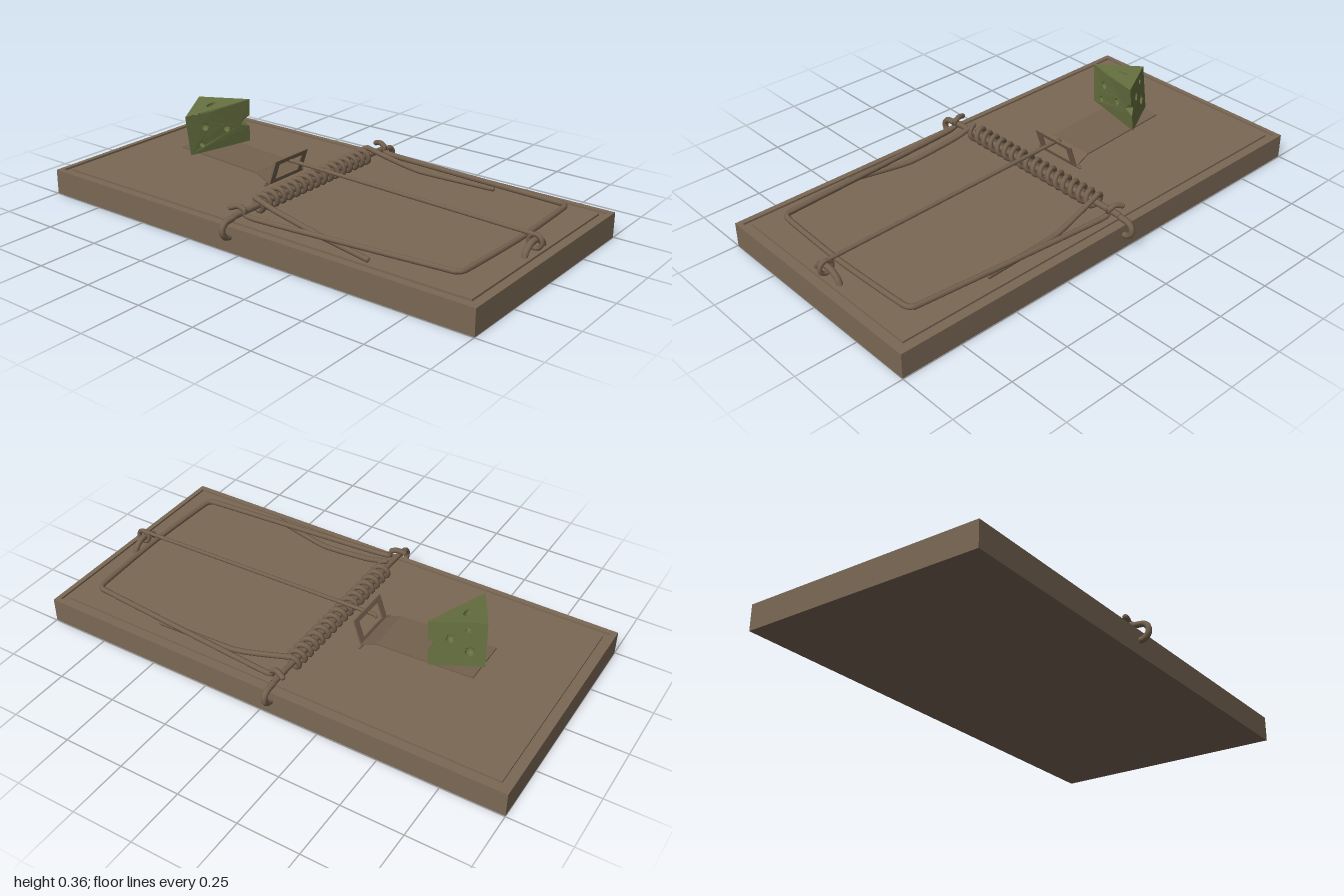
import * as THREE from 'three';

const wood = new THREE.MeshStandardMaterial({ color: 0x7b6855 });
wood.name = 'brown wood';
const metal = new THREE.MeshStandardMaterial({ color: 0x75624f });
metal.name = 'brown metal';
const cheeseMat = new THREE.MeshStandardMaterial({ color: 0x667040, flatShading: true, side: THREE.DoubleSide });
cheeseMat.name = 'green cheese';

const V = (x, y, z) => new THREE.Vector3(x, y, z);

function add(parent, name, geometry, material, x = 0, y = 0, z = 0) {
  const mesh = new THREE.Mesh(geometry, material);
  mesh.name = name;
  mesh.position.set(x, y, z);
  parent.add(mesh);
  return mesh;
}

// Round wire through points, closed off by a ball at each end
function wire(parent, name, points, radius, segments = 60, tension = 0.25) {
  const group = new THREE.Group();
  group.name = name;
  const pts = points.map((p) => V(...p));
  const curve = new THREE.CatmullRomCurve3(pts, false, 'catmullrom', tension);
  add(group, name + 'Wire', new THREE.TubeGeometry(curve, segments, radius, 8), metal);
  for (const p of [pts[0], pts[pts.length - 1]])
    add(group, name + 'End', new THREE.SphereGeometry(radius, 8, 6), metal, p.x, p.y, p.z);
  parent.add(group);
}

function rectangle(w, h, Kind = THREE.Shape) {
  return new Kind([[-w, -h], [w, -h], [w, h], [-w, h]].map(([x, y]) => new THREE.Vector2(x, y)));
}

// Board with a shallow groove running round its top
function buildBase(parent) {
  add(parent, 'board', new THREE.BoxGeometry(0.995, 0.095, 2), wood, 0, 0.0475, 0);
  const rim = rectangle(0.4975, 1);
  rim.holes.push(rectangle(0.475, 0.98, THREE.Path));
  for (const [name, shape] of [['boardRim', rim], ['boardPanel', rectangle(0.452, 0.957)]]) {
    const geo = new THREE.ExtrudeGeometry(shape, { depth: 0.009, bevelEnabled: false });
    geo.rotateX(-Math.PI / 2);
    add(parent, name, geo, wood, 0, 0.094, 0);
  }
}

// Coil spring round the axle, with its two long arms
function buildSpring(parent) {
  const turns = 17, coil = [];
  for (let i = 0; i <= turns * 12; i++) {
    const a = (i / 12) * Math.PI * 2;
    coil.push([-0.35 + (0.705 * i) / (turns * 12), 0.141 + 0.029 * Math.cos(a), -0.046 + 0.029 * Math.sin(a)]);
  }
  wire(parent, 'spring', coil, 0.0105, turns * 16, 0.5);
  wire(parent, 'leftSpringArm', [[0.355, 0.17, -0.046], [0.365, 0.145, 0.05], [0.38, 0.115, 0.2], [0.395, 0.115, 0.53]], 0.011);
  wire(parent, 'rightSpringArm', [[-0.35, 0.17, -0.046], [-0.355, 0.145, 0.05], [-0.375, 0.115, 0.27], [-0.435, 0.115, 0.53]], 0.011);
}

// Axle whose ends bend round into the sides of the board
function buildAxle(parent) {
  const end = [[0.48, 0.06], [0.515, 0.066], [0.533, 0.085], [0.533, 0.108], [0.515, 0.125], [0.47, 0.13], [0.4, 0.135]];
  const right = end.map(([x, y]) => [-x, y, -0.046]);
  const left = end.map(([x, y]) => [x, y, -0.046]).reverse();
  wire(parent, 'axle', [...right, ...left], 0.0125, 160, 0.4);
}

// U-shaped striking bar hooked over the axle at both ends
function buildBar(parent) {
  const side = [[0.455, 0.158, -0.075], [0.445, 0.168, -0.045], [0.44, 0.155, -0.015], [0.435, 0.13, 0.03],
    [0.377, 0.138, 0.8], [0.37, 0.139, 0.845], [0.335, 0.139, 0.865]];
  const bar = [...side, [0, 0.139, 0.877], ...side.map(([x, y, z]) => [-x, y, z]).reverse()];
  wire(parent, 'strikingBar', bar, 0.011, 220, 0.3);
}

// Holding rod, its ring and the staple at the front
function buildRod(parent) {
  wire(parent, 'holdingRod', [[-0.003, 0.167, 0.925], [-0.003, 0.19, -0.15], [-0.003, 0.183, -0.2]], 0.008);
  const ring = add(parent, 'rodRing', new THREE.TorusGeometry(0.026, 0.009, 8, 24), metal, -0.003, 0.142, 0.935);
  ring.rotation.y = Math.PI / 2;
  wire(parent, 'staple', [[-0.07, 0.09, 0.93], [-0.058, 0.118, 0.93], [-0.03, 0.138, 0.93], [0, 0.143, 0.93],
    [0.03, 0.138, 0.93], [0.058, 0.118, 0.93], [0.07, 0.09, 0.93]], 0.0125, 40, 0.5);
}

// Bent bait plate with an upright open catch
function buildPlate(parent) {
  const profile = [[-0.195, 0.112], [-0.26, 0.143], [-0.665, 0.163]];
  for (let i = 0; i < 2; i++) {
    const [z0, y0] = profile[i], [z1, y1] = profile[i + 1];
    const geo = new THREE.BoxGeometry(0.197, 0.006, Math.hypot(z1 - z0, y1 - y0) + 0.003);
    const mesh = add(parent, 'baitPlate', geo, metal, 0, (y0 + y1) / 2, (z0 + z1) / 2);
    mesh.rotation.x = Math.atan2(y1 - y0, z0 - z1);
  }
  const frame = rectangle(0.098, 0.054);
  frame.holes.push(new THREE.Path([[-0.07, -0.036], [0.07, -0.036], [0.07, 0.034], [-0.07, 0.034]]
    .map(([x, y]) => new THREE.Vector2(x, y))));
  const geo = new THREE.ExtrudeGeometry(frame, { depth: 0.007, bevelEnabled: false });
  const mesh = add(parent, 'catch', geo, metal, 0, 0.163, -0.181);
  mesh.rotation.x = 0.33;
  wire(parent, 'platePivot', [[-0.115, 0.112, -0.2], [0.115, 0.112, -0.2]], 0.006, 4);
}

// Wedge of cheese: panels with pits, and a bite out of one upright edge
function buildCheese(parent) {
  const group = new THREE.Group();
  group.name = 'cheese';
  parent.add(group);
  const low = [V(-0.16, 0.168, -0.56), V(0.125, 0.168, -0.493), V(0.025, 0.168, -0.68)];
  const high = [V(-0.177, 0.333, -0.568), V(0.112, 0.357, -0.478), V(0.01, 0.357, -0.668)];

  // Lays a flat outline with round pits onto a patch given by map(u, v)
  function panel(name, outline, pits, map) {
    const origin = map(0.4, 0.3);
    const normal = map(0.5, 0.3).sub(origin).cross(map(0.4, 0.4).sub(origin)).normalize();
    const place = (geo) => {
      const pos = geo.attributes.position;
      for (let i = 0; i < pos.count; i++) {
        const p = map(pos.getX(i), pos.getY(i)).addScaledVector(normal, pos.getZ(i));
        pos.setXYZ(i, p.x, p.y, p.z);
      }
      geo.computeVertexNormals();
      return geo;
    };
    const shape = new THREE.Shape(outline.map(([u, v]) => new THREE.Vector2(u, v)));
    for (const [u, v, ru, rv] of pits) {
      const hole = [];
      for (let i = 0; i < 8; i++) {
        const a = (i / 8) * Math.PI * 2;
        hole.push(new THREE.Vector2(u + ru * Math.cos(a), v + rv * Math.sin(a)));
      }
      shape.holes.push(new THREE.Path(hole));
      const pit = new THREE.SphereGeometry(1, 8, 3, 0, Math.PI * 2, Math.PI / 2, Math.PI / 2);
      pit.rotateX(Math.PI / 2).scale(ru, rv, 0.02).translate(u, v, 0);
      add(group, 'cheesePit', place(pit), cheeseMat);
    }
    add(group, name, place(new THREE.ShapeGeometry(shape)), cheeseMat);
  }

  const sideMap = (i) => (u, v) => {
    const j = (i + 1) % 3;
    return low[i].clone().lerp(low[j], u).lerp(high[i].clone().lerp(high[j], u), v);
  };
  const triMap = ([a, b, c]) => (u, v) => a.clone().addScaledVector(b.clone().sub(a), u).addScaledVector(c.clone().sub(a), v);

  panel('cheeseFront', [[0, 0], [1, 0], [1, 0.36], [0.85, 0.45], [0.88, 0.56], [1, 0.62], [1, 1], [0.4, 0.95], [0, 1]],
    [[0.28, 0.62, 0.055, 0.1], [0.62, 0.45, 0.05, 0.09], [0.2, 0.2, 0.04, 0.07]], sideMap(0));
  panel('cheeseSide', [[0, 0], [1, 0], [1, 1], [0, 1], [0, 0.62], [0.13, 0.5], [0, 0.36]],
    [[0.38, 0.62, 0.08, 0.1], [0.72, 0.34, 0.09, 0.11], [0.68, 0.82, 0.06, 0.06]], sideMap(1));
  panel('cheeseBack', [[0, 0], [1, 0], [1, 1], [0, 1]],
    [[0.35, 0.66, 0.08, 0.11], [0.68, 0.36, 0.08, 0.1], [0.25, 0.22, 0.06, 0.07]], sideMap(2));
  panel('cheeseTop', [[0, 0], [1, 0], [0, 1]], [[0.33, 0.33, 0.08, 0.1]], triMap(high));
  panel('cheeseBottom', [[0, 0], [1, 0], [0, 1]], [], triMap([low[0], low[2], low[1]]));

  // Inner walls of the bite
  const f = sideMap(0), s = sideMap(1);
  const A = f(1, 0.36), B = f(1, 0.62), P = f(0.85, 0.45), R = f(0.88, 0.56), Q = s(0.13, 0.5);
  const bite = new THREE.BufferGeometry().setFromPoints([A, Q, P, P, Q, R, R, Q, B]);
  bite.computeVertexNormals();
  add(group, 'cheeseBite', bite, cheeseMat);
}

export function createModel() {
  const model = new THREE.Group();
  model.name = 'mousetrap';
  for (const build of [buildBase, buildSpring, buildAxle, buildBar, buildRod, buildPlate, buildCheese]) build(model);
  return model;
}
